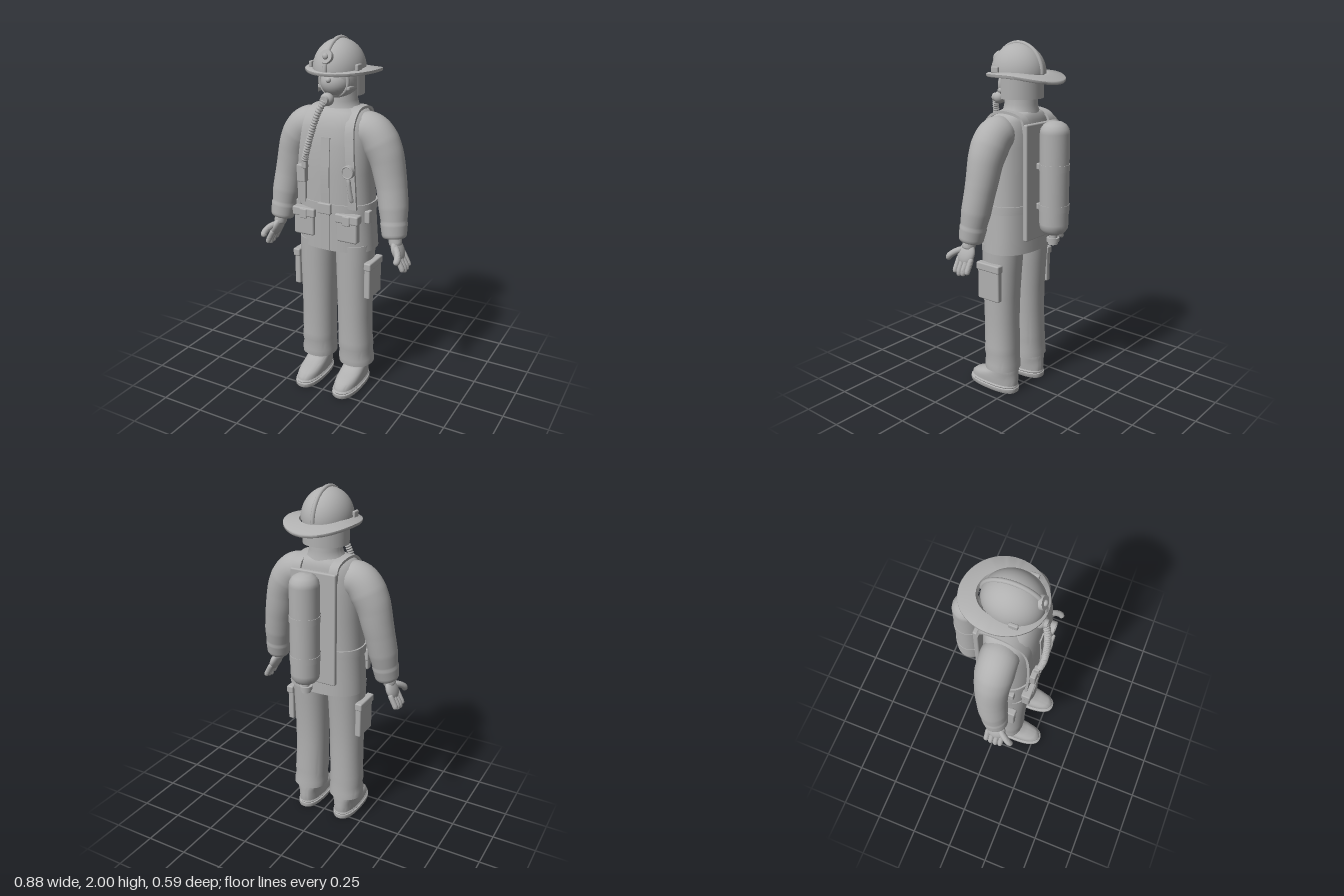
import * as THREE from 'three';
import { mergeVertices, toCreasedNormals } from 'three/addons/utils/BufferGeometryUtils.js';
import { RoundedBoxGeometry } from 'three/addons/geometries/RoundedBoxGeometry.js';

const grey = new THREE.MeshStandardMaterial({ color: 0xb0b0b0, side: THREE.DoubleSide });
grey.name = 'plain grey';
const V = (x, y, z) => new THREE.Vector3(x, y, z);

export function createModel() {
  const model = new THREE.Group();
  model.name = 'firefighter';

  const add = (name, geo, x = 0, y = 0, z = 0) => {
    const m = new THREE.Mesh(geo, grey);
    m.name = name;
    m.position.set(x, y, z);
    model.add(m);
    return m;
  };
  const box = (name, w, h, d, x, y, z, r = 0.006) =>
    add(name, new RoundedBoxGeometry(w, h, d, 2, r), x, y, z);
  const ball = (name, rx, ry, rz, x, y, z) =>
    add(name, new THREE.SphereGeometry(1, 32, 20).scale(rx, ry, rz), x, y, z);
  const both = (fn) => [1, -1].forEach((s) => fn(s, s > 0 ? 'left' : 'right'));

  // Closed body from horizontal sections [y, centre x, half width, back z, front z]
  const loft = (sections, power = 2.3, crease = 0.75, n = 48) => {
    const pos = [], idx = [];
    const round = (v) => Math.sign(v) * Math.abs(v) ** (2 / power);
    sections.forEach(([y, cx, rx, zb, zf]) => {
      for (let i = 0; i < n; i++) {
        const a = (i / n) * Math.PI * 2;
        pos.push(cx + rx * round(Math.cos(a)), y, (zb + zf) / 2 + ((zf - zb) / 2) * round(Math.sin(a)));
      }
    });
    const last = (sections.length - 1) * n, c0 = pos.length / 3;
    [sections[0], sections[sections.length - 1]].forEach(([y, cx, , zb, zf]) => pos.push(cx, y, (zb + zf) / 2));
    for (let i = 0; i < n; i++) {
      const k = (i + 1) % n;
      for (let r = 0; r < last; r += n) idx.push(r + i, r + n + i, r + k, r + k, r + n + i, r + n + k);
      idx.push(c0, i, k, c0 + 1, last + k, last + i);
    }
    const g = new THREE.BufferGeometry();
    g.setAttribute('position', new THREE.Float32BufferAttribute(pos, 3));
    g.setIndex(idx);
    return toCreasedNormals(g, crease);
  };

  // Tube along points whose radius follows a function of 0..1
  const sweep = (points, radius, segs = 40, sides = 20) => {
    const curve = new THREE.CatmullRomCurve3(points);
    const g = new THREE.TubeGeometry(curve, segs, 1, sides);
    const p = g.attributes.position, v = V(0, 0, 0);
    for (let i = 0; i < p.count; i++) {
      const u = Math.floor(i / (sides + 1)) / segs, c = curve.getPointAt(u);
      v.fromBufferAttribute(p, i).sub(c).multiplyScalar(radius(u)).add(c);
      p.setXYZ(i, v.x, v.y, v.z);
    }
    g.deleteAttribute('uv');
    g.deleteAttribute('normal');
    return toCreasedNormals(mergeVertices(g, 1e-5), 0.9);
  };
  const steps = (list) => (u) => {
    const i = Math.max(1, list.findIndex(([t]) => t >= u));
    const [t0, a] = list[i - 1], [t1, b] = list[i];
    return a + ((b - a) * (u - t0)) / (t1 - t0);
  };
  const capsule = (r) => (u) => r * Math.sqrt(Math.max(0, 1 - Math.abs(2 * u - 1) ** 8));

  // Flat band following points, front side outwards
  const ribbon = (points, w, d) => {
    const curve = new THREE.CatmullRomCurve3(points);
    const g = new THREE.BoxGeometry(w, 1, d, 1, 40, 1), p = g.attributes.position;
    for (let i = 0; i < p.count; i++) {
      const u = p.getY(i) + 0.5, out = V(1, 0, 0).cross(curve.getTangentAt(u)).normalize();
      const q = curve.getPointAt(u).addScaledVector(out, p.getZ(i));
      p.setXYZ(i, q.x + p.getX(i), q.y, q.z);
    }
    return toCreasedNormals(g, 0.7);
  };

  // Jacket, belt and front closure
  add('jacket', loft([
    [0.865, 0, 0.226, -0.105, 0.197], [0.95, 0, 0.22, -0.102, 0.197], [1.1, 0, 0.21, -0.098, 0.197],
    [1.3, 0, 0.2, -0.098, 0.2], [1.45, 0, 0.2, -0.098, 0.192], [1.54, 0, 0.195, -0.095, 0.18],
    [1.59, 0, 0.18, -0.09, 0.162], [1.62, 0, 0.15, -0.083, 0.14], [1.635, 0, 0.1, -0.07, 0.12]], 2.4));
  add('belt', loft([[1.09, 0, 0.219, -0.105, 0.205], [1.135, 0, 0.217, -0.105, 0.205]], 2.4));
  box('beltBuckle', 0.08, 0.06, 0.025, 0, 1.11, 0.207);
  add('jacketPlacket', ribbon([V(0, 0.87, 0.197), V(0, 1.1, 0.198), V(0, 1.3, 0.201), V(0, 1.495, 0.188)], 0.05, 0.01));

  // Neck, head and breathing mask
  add('neck', loft([[1.6, 0, 0.13, -0.085, 0.13], [1.64, 0, 0.098, -0.075, 0.117], [1.67, 0, 0.088, -0.072, 0.112], [1.74, 0, 0.088, -0.07, 0.11]], 2));
  ball('head', 0.1, 0.125, 0.112, 0, 1.78, 0.035);
  ball('maskLens', 0.082, 0.075, 0.085, 0, 1.765, 0.075);
  const frame = add('maskFrame', new THREE.TorusGeometry(0.082, 0.009, 10, 40), 0, 1.77, 0.098);
  frame.scale.set(1, 0.92, 1.5);
  ball('maskPort', 0.014, 0.014, 0.014, 0, 1.785, 0.157);
  box('maskBand', 0.19, 0.025, 0.1, 0, 1.74, 0.06, 0.01);
  ball('regulator', 0.036, 0.034, 0.034, 0, 1.69, 0.172);
  add('regulatorCap', new THREE.CylinderGeometry(0.022, 0.026, 0.02, 24).rotateX(Math.PI / 2), 0, 1.69, 0.202);
  add('neckFlap', new THREE.CylinderGeometry(0.125, 0.125, 0.15, 40, 1, true, 1.19, Math.PI * 2 - 2.38).scale(1, 1, 0.96), 0, 1.775, 0.02);

  // Helmet: dome, drooping brim, comb, badge and side clips
  add('helmetDome', new THREE.SphereGeometry(1, 48, 20, 0, Math.PI * 2, 0, Math.PI / 2).scale(0.135, 0.155, 0.157), 0, 1.83, 0.037);
  const brim = new THREE.LatheGeometry(
    [[0.55, -0.01], [0.98, -0.012], [1, -0.006], [1, 0.004], [0.98, 0.007], [0.6, 0.012], [0.55, -0.01]]
      .map(([x, y]) => new THREE.Vector2(x, y)), 64);
  const bp = brim.attributes.position;
  for (let i = 0; i < bp.count; i++) {
    const x = bp.getX(i), z = bp.getZ(i);
    bp.setXYZ(i, x * 0.2, bp.getY(i) - z * z * (z < 0 ? 0.036 : 0.008), z * 0.218 - 0.012);
  }
  add('helmetBrim', toCreasedNormals(brim, 0.8), 0, 1.829, 0);
  add('helmetComb', new THREE.TorusGeometry(0.156, 0.012, 10, 48, Math.PI).rotateY(Math.PI / 2), 0, 1.83, 0.037);
  const badge = add('helmetBadge', new THREE.CylinderGeometry(0.035, 0.037, 0.018, 32).rotateX(Math.PI / 2), 0, 1.905, 0.178);
  badge.rotation.x = -0.4;
  ball('badgeBoss', 0.016, 0.016, 0.012, 0, 1.908, 0.188);
  both((s, side) => box(side + 'HelmetClip', 0.018, 0.035, 0.048, s * 0.135, 1.85, 0.087));

  // Ribbed air hose and the valve at its end
  add('airHose', sweep([V(0, 1.685, 0.2), V(-0.025, 1.63, 0.222), V(-0.06, 1.52, 0.236), V(-0.09, 1.42, 0.236), V(-0.11, 1.365, 0.225)],
    (u) => 0.0165 + 0.0025 * Math.sin(u * 150), 150, 12));
  box('hoseValve', 0.052, 0.095, 0.04, -0.138, 1.288, 0.203);
  box('hoseCoupling', 0.03, 0.05, 0.03, -0.115, 1.345, 0.215);

  // Pressure gauge hanging on the left strap
  add('gauge', new THREE.CylinderGeometry(0.035, 0.035, 0.025, 32).rotateX(Math.PI / 2), 0.14, 1.33, 0.205);
  add('gaugeRim', new THREE.TorusGeometry(0.031, 0.004, 8, 32), 0.14, 1.33, 0.218);
  add('gaugeLine', sweep([V(0.14, 1.3, 0.205), V(0.147, 1.23, 0.202), V(0.158, 1.16, 0.195)], capsule(0.012), 24, 10));

  // Back plate and air tank
  box('backPlate', 0.27, 0.635, 0.028, 0, 1.262, -0.112, 0.008);
  const tank = [[0, 0.975], [0.035, 0.978], [0.06, 0.99], [0.076, 1.012], [0.08, 1.04], [0.08, 1.53],
    [0.076, 1.555], [0.06, 1.578], [0.035, 1.592], [0, 1.596]].map(([x, y]) => new THREE.Vector2(x, y));
  add('airTank', new THREE.LatheGeometry(tank, 40), 0, 0, -0.208);
  [1.13, 1.35].forEach((y) => add('tankBand', new THREE.CylinderGeometry(0.083, 0.083, 0.035, 40), 0, y, -0.208));
  [1.13, 1.35].forEach((y) => box('tankBracket', 0.1, 0.035, 0.06, 0, y, -0.14));
  add('tankNeck', new THREE.CylinderGeometry(0.022, 0.022, 0.06, 20), 0, 0.96, -0.205);
  add('tankValve', new THREE.CylinderGeometry(0.035, 0.035, 0.022, 24), 0, 0.945, -0.203);
  add('tankKnob', new THREE.CylinderGeometry(0.028, 0.028, 0.018, 24), 0, 0.928, -0.203);

  both((s, side) => {
    // Shoulder strap
    add(side + 'Strap', ribbon([V(s * 0.155, 1.12, 0.182), V(s * 0.147, 1.3, 0.187), V(s * 0.135, 1.45, 0.179),
      V(s * 0.125, 1.56, 0.155), V(s * 0.12, 1.622, 0.095), V(s * 0.115, 1.634, 0.02),
      V(s * 0.11, 1.605, -0.085), V(s * 0.11, 1.53, -0.108)], 0.05, 0.014));

    // Belt pouch with flap, and side clip
    box(side + 'Pouch', 0.122, 0.145, 0.045, s * 0.132, 1.008, 0.188, 0.01);
    box(side + 'PouchFlap', 0.138, 0.05, 0.052, s * 0.132, 1.068, 0.19, 0.008);
    box(side + 'PouchTab', 0.045, 0.055, 0.06, s * 0.132, 1.06, 0.19, 0.006);
    box(side + 'BeltClip', 0.03, 0.07, 0.04, s * 0.213, 1.068, 0.11);

    // Sleeve with turned cuff
    add(side + 'Sleeve', sweep([V(s * 0.1, 1.53, 0.035), V(s * 0.2, 1.51, 0.036), V(s * 0.265, 1.42, 0.036),
      V(s * 0.305, 1.28, 0.04), V(s * 0.332, 1.14, 0.055), V(s * 0.356, 0.955, 0.082)],
      steps([[0, 0.08], [0.1, 0.1], [0.25, 0.102], [0.4, 0.092], [0.6, 0.083], [0.75, 0.08], [0.86, 0.071],
        [0.875, 0.074], [0.97, 0.067], [0.985, 0.06], [1, 0]]), 64, 28));

    // Hand: wrist, palm, four fingers and thumb
    add(side + 'Wrist', sweep([V(s * 0.352, 0.99, 0.08), V(s * 0.37, 0.92, 0.09)], capsule(0.036), 12, 16));
    ball(side + 'Palm', 0.027, 0.062, 0.056, s * 0.382, 0.9, 0.09).rotation.z = s * 0.4;
    for (let i = 0; i < 4; i++) {
      const z = 0.046 + i * 0.028, tip = 0.78 + 0.012 * Math.abs(i - 1.7);
      add(side + 'Finger', sweep([V(s * 0.388, 0.885, z), V(s * 0.408, 0.848, z), V(s * 0.425, 0.815, z), V(s * 0.43, tip, z)],
        capsule(0.0155), 20, 10));
    }
    add(side + 'Thumb', sweep([V(s * 0.375, 0.925, 0.11), V(s * 0.405, 0.905, 0.15), V(s * 0.418, 0.88, 0.18), V(s * 0.412, 0.858, 0.195)],
      capsule(0.018), 20, 12));

    // Trouser leg with cuff folds
    add(side + 'TrouserLeg', loft([
      [0.145, s * 0.123, 0.1, -0.04, 0.158], [0.18, s * 0.122, 0.1, -0.038, 0.162], [0.215, s * 0.12, 0.095, -0.035, 0.158],
      [0.25, s * 0.121, 0.099, -0.035, 0.166], [0.29, s * 0.119, 0.096, -0.034, 0.165], [0.45, s * 0.116, 0.096, -0.03, 0.168],
      [0.6, s * 0.115, 0.098, -0.035, 0.172], [0.75, s * 0.114, 0.102, -0.046, 0.178], [0.9, s * 0.112, 0.106, -0.06, 0.182]], 2.2));

    // Thigh pocket with flap
    box(side + 'ThighPocket', 0.035, 0.2, 0.15, s * 0.222, 0.69, 0.066, 0.008);
    box(side + 'PocketFlap', 0.042, 0.045, 0.162, s * 0.225, 0.784, 0.066, 0.008);

    // Boot: sole, welt, upper
    const cx = s * 0.122;
    add(side + 'Sole', loft([[0, cx, 0.068, -0.04, 0.288], [0.008, cx, 0.074, -0.042, 0.294], [0.026, cx, 0.074, -0.042, 0.294], [0.03, cx, 0.068, -0.038, 0.288]], 2.5));
    add(side + 'Welt', loft([[0.03, cx, 0.068, -0.038, 0.288], [0.036, cx, 0.072, -0.041, 0.292], [0.044, cx, 0.066, -0.038, 0.284]], 2.5));
    add(side + 'Boot', loft([[0.04, cx, 0.066, -0.038, 0.284], [0.062, cx, 0.067, -0.04, 0.28], [0.08, cx, 0.067, -0.04, 0.255],
      [0.1, cx, 0.066, -0.039, 0.2], [0.12, cx, 0.066, -0.038, 0.14], [0.14, cx, 0.068, -0.038, 0.125], [0.2, cx, 0.068, -0.03, 0.122]], 2.4, 1));
  });

  return model;
}
